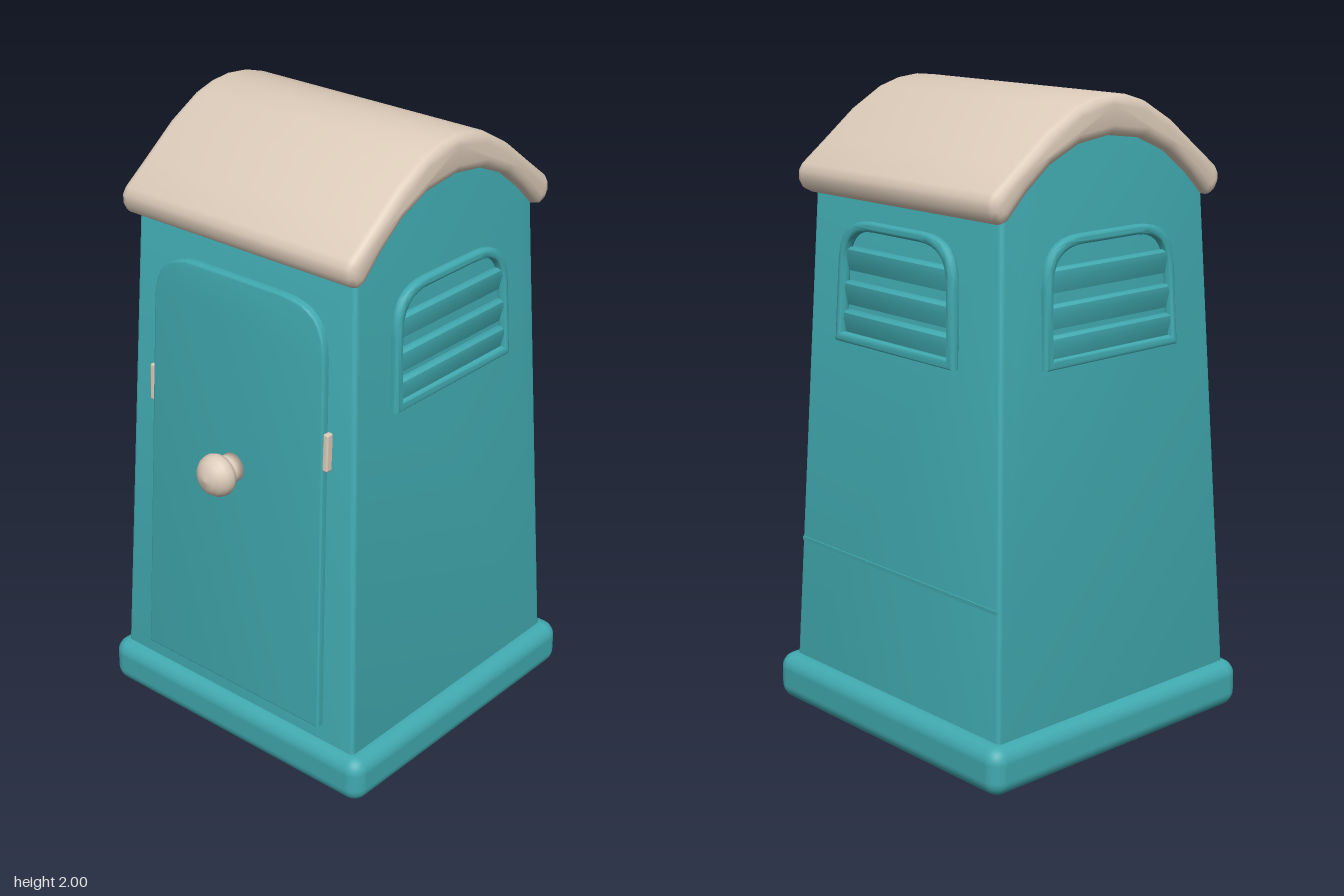
import * as THREE from 'three';
import { toCreasedNormals } from 'three/addons/utils/BufferGeometryUtils.js';
import { RoundedBoxGeometry } from 'three/addons/geometries/RoundedBoxGeometry.js';

const MID_Z = -0.032;
// Wall positions at height y; every wall leans inward.
const sideX = y => 0.49 - 0.043 * (y - 0.15);
const frontZ = y => 0.46 - 0.0526 * (y - 0.15);
const backZ = y => -0.515 + 0.049 * (y - 0.15);

// Extrude with rounded edges; the outline keeps its size, z runs 0..depth.
function slab(shape, depth, bevel, crease = 0.7) {
  const g = new THREE.ExtrudeGeometry(shape, {
    depth: depth - 2 * bevel, bevelThickness: bevel, bevelSize: bevel,
    bevelOffset: -bevel, bevelSegments: 3, curveSegments: 8,
  });
  g.translate(0, 0, bevel);
  return toCreasedNormals(g, crease);
}

// Turn a (z, y) profile into a solid of the given width along x.
function across(points, width, bevel, crease) {
  const shape = new THREE.Shape(points.map(p => new THREE.Vector2(...p)));
  return slab(shape, width, bevel, crease).translate(0, 0, -width / 2).rotateY(-Math.PI / 2);
}

// Upright panel outline with rounded top corners, wider at the bottom.
function archedPanel(bottom, top, y0, y1, r, Type = THREE.Shape) {
  const s = new Type(), b = bottom / 2, t = top / 2, k = r * 0.3;
  s.moveTo(-b, y0);
  s.lineTo(b, y0);
  s.lineTo(t, y1 - r);
  s.bezierCurveTo(t, y1 - k, t - k, y1, t - r, y1);
  s.lineTo(r - t, y1);
  s.bezierCurveTo(k - t, y1, -t, y1 - k, -t, y1 - r);
  s.closePath();
  return s;
}

function shift(geometry, rule) {
  const p = geometry.attributes.position;
  const v = new THREE.Vector3();
  for (let i = 0; i < p.count; i++) {
    rule(v.fromBufferAttribute(p, i));
    p.setXYZ(i, v.x, v.y, v.z);
  }
  return geometry;
}

export function createModel() {
  const teal = new THREE.MeshStandardMaterial({ color: 0x40a9af });
  teal.name = 'teal plastic';
  const tan = new THREE.MeshStandardMaterial({ color: 0xdccbb9 });
  tan.name = 'tan plastic';

  const model = new THREE.Group();
  model.name = 'outhouse';
  const cabin = new THREE.Group();
  cabin.name = 'cabin';
  cabin.position.x = -0.005;
  model.add(cabin);
  const add = (name, geometry, material, parent = cabin) => {
    const mesh = new THREE.Mesh(geometry, material);
    mesh.name = name;
    parent.add(mesh);
    return mesh;
  };

  // Base
  add('base', new RoundedBoxGeometry(1.07, 0.155, 1.065, 4, 0.05), teal, model)
    .position.set(0, 0.0775, MID_Z);

  // Tapered walls with an arched top that ends inside the roof
  const archHalf = [[0.33, 1.79], [0.25, 1.85], [0.13, 1.905]];
  const walls = across([
    [backZ(0.08), 0.08], [frontZ(0.08), 0.08], [frontZ(1.7), 1.7],
    ...archHalf.map(([d, y]) => [MID_Z + d, y]), [MID_Z, 1.925],
    ...archHalf.slice().reverse().map(([d, y]) => [MID_Z - d, y]), [backZ(1.7), 1.7],
  ], 0.98, 0.015);
  shift(walls, v => { v.x *= sideX(v.y) / 0.49; });
  add('walls', toCreasedNormals(walls, 0.7), teal);

  // Arched roof with rounded eaves
  const outer = [[0.07, 1.993], [0.14, 1.972], [0.25, 1.91], [0.36, 1.825], [0.45, 1.757],
    [0.464, 1.735], [0.464, 1.705], [0.45, 1.68], [0.425, 1.667], [0.4, 1.675]];
  const inner = [[0.33, 1.745], [0.24, 1.815], [0.13, 1.863]];
  const half = [...outer, ...inner];
  const roof = across([
    [MID_Z, 1.88],
    ...half.slice().reverse().map(([d, y]) => [MID_Z + d, y]),
    [MID_Z, 2],
    ...half.map(([d, y]) => [MID_Z - d, y]),
  ], 0.91, 0.03, 0.9);
  add('roof', roof, tan);

  // Door leaning with the front wall
  const door = slab(archedPanel(0.73, 0.675, 0.21, 1.58, 0.17), 0.034, 0.006);
  shift(door, v => { v.z += frontZ(v.y) - 0.01; });
  add('door', toCreasedNormals(door, 0.7), teal);

  // Hinges on both door edges
  for (const s of [-1, 1]) {
    const hinge = add('hinge', new RoundedBoxGeometry(0.02, 0.12, 0.03, 2, 0.006), tan);
    hinge.position.set(s * 0.352, 1.14, frontZ(1.14) + 0.006);
    hinge.rotation.x = -0.0526;
  }

  // Door knob
  const knobProfile = [[0, 0], [0.045, 0], [0.045, 0.03], [0.038, 0.042], [0.05, 0.045],
    [0.062, 0.052], [0.068, 0.068], [0.064, 0.088], [0.052, 0.106], [0.03, 0.12], [0, 0.126]];
  const knob = new THREE.LatheGeometry(knobProfile.map(p => new THREE.Vector2(...p)), 24);
  add('knob', knob.rotateX(Math.PI / 2), tan).position.set(-0.004, 0.975, 0.439);

  // Louvred vents: frame and slats, drawn facing +z with the sill at y = 0
  const frameShape = archedPanel(0.545, 0.53, 0, 0.38, 0.15);
  frameShape.holes.push(archedPanel(0.485, 0.47, 0.03, 0.35, 0.125, THREE.Path));
  const frameGeometry = slab(frameShape, 0.034, 0.011, 0.9);
  const slatShape = [[-0.012, 0], [0.006, 0], [0.02, 0.045], [0.02, 0.065], [0.012, 0.073], [-0.012, 0.073]];

  function vent(name, x, z, turn, lean, lift) {
    const g = new THREE.Group();
    g.name = name;
    g.position.set(x, 1.23, z);
    g.rotation.set(-lean, turn, 0, 'YXZ');
    cabin.add(g);
    add('ventFrame', frameGeometry, teal, g).position.z = lift - 0.01;
    [[0.025, 0.5], [0.115, 0.5], [0.22, 0.49]].forEach(([y, width]) => {
      add('ventSlat', across(slatShape, width, 0.002, 0.5), teal, g).position.set(0, y, lift * 0.5);
    });
  }
  vent('leftVent', sideX(1.23), MID_Z, Math.PI / 2, 0.043, 0);
  vent('rightVent', -sideX(1.23), MID_Z, -Math.PI / 2, 0.043, 0);
  vent('backVent', 0, backZ(1.23), Math.PI, 0.049, 0.014);

  // Seam across the lower back wall
  add('backSeam', new THREE.BoxGeometry(2 * sideX(0.55) - 0.02, 0.012, 0.008), teal)
    .position.set(0, 0.55, backZ(0.55));

  return model;
}
